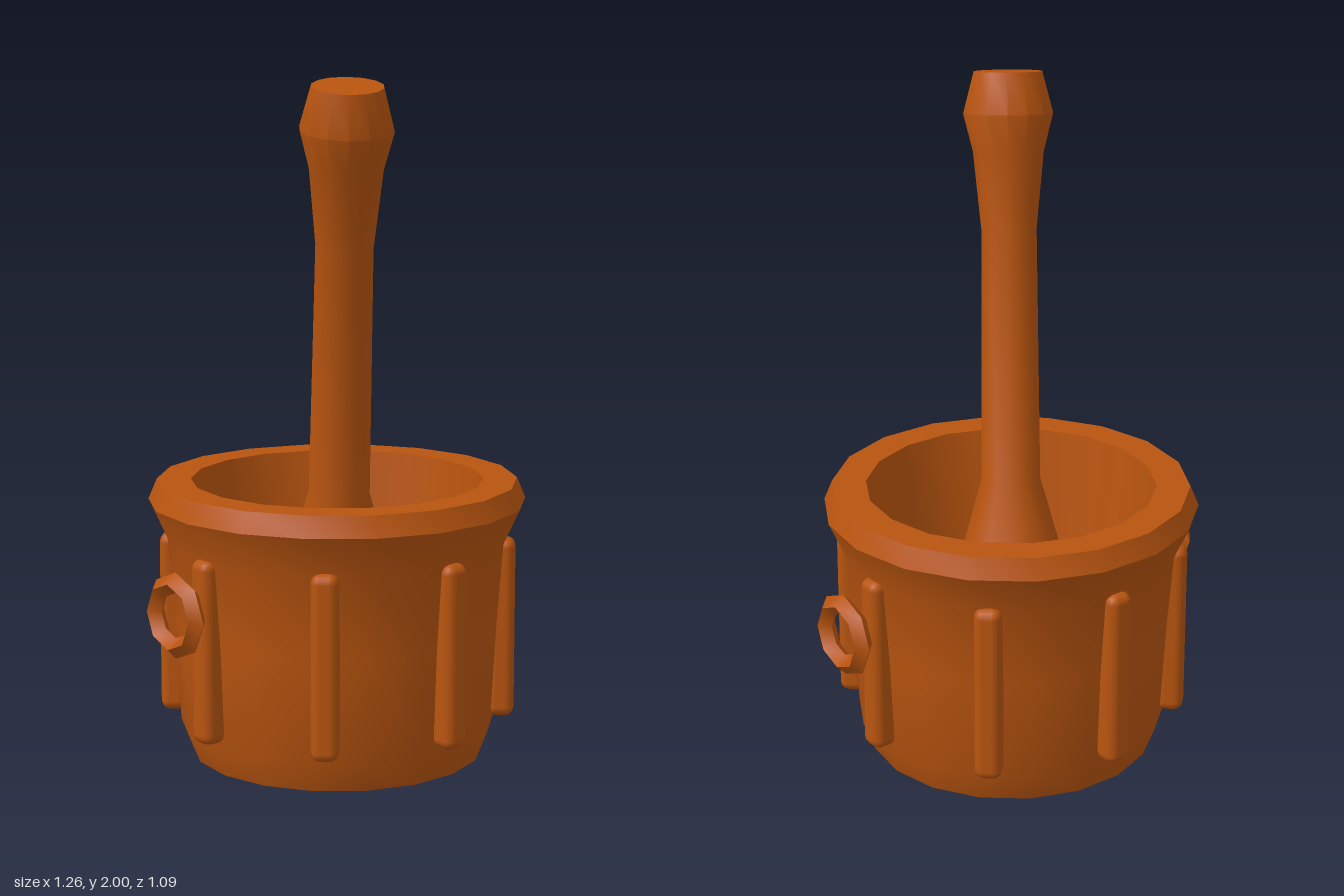
import * as THREE from 'three';
import { toCreasedNormals } from 'three/addons/utils/BufferGeometryUtils.js';
import { RoundedBoxGeometry } from 'three/addons/geometries/RoundedBoxGeometry.js';

const wood = new THREE.MeshStandardMaterial({ color: 0xb8540f });
wood.name = 'brownWood';
const powder = new THREE.MeshStandardMaterial({ color: 0xd0d0d0 });
powder.name = 'greyPowder';

function add(parent, name, geometry, material) {
  const mesh = new THREE.Mesh(geometry, material);
  mesh.name = name;
  parent.add(mesh);
  return mesh;
}

// Turned shape from [radius, height] pairs, with a corner on the x axis
function turned(profile, sides) {
  const points = profile.map(([r, y]) => new THREE.Vector2(r, y));
  return toCreasedNormals(new THREE.LatheGeometry(points, sides, Math.PI / 2), 0.6);
}

export function createModel() {
  const model = new THREE.Group();
  model.name = 'mortarAndPestle';

  // Hollow bowl with a flared, bevelled lip
  add(model, 'bowl', turned([
    [0, 0], [0.43, 0], [0.465, 0.09], [0.482, 0.4], [0.5, 0.64],
    [0.555, 0.76], [0.53, 0.82], [0.43, 0.82], [0.365, 0.32], [0, 0.3],
  ], 18), wood);

  // Ground heap inside the bowl
  add(model, 'powderHeap', turned([
    [0.37, 0.33], [0.29, 0.37], [0.2, 0.4], [0.1, 0.417], [0, 0.423],
  ], 18), powder);

  // Eight upright ribs around the bowl
  for (let i = 0; i < 8; i++) {
    const angle = (i * Math.PI) / 4;
    const rib = add(model, 'rib', new RoundedBoxGeometry(0.08, 0.54, 0.08, 2, 0.028), wood);
    rib.position.set(Math.sin(angle) * 0.486, 0.38, Math.cos(angle) * 0.486);
    rib.rotation.y = angle;
  }

  // Faceted ring handles on both sides
  for (const side of [-1, 1]) {
    const ring = add(model, side > 0 ? 'leftRing' : 'rightRing',
      toCreasedNormals(new THREE.TorusGeometry(0.095, 0.03, 4, 8), 0.6), wood);
    ring.position.set(side * 0.602, 0.505, 0);
    ring.rotation.y = Math.PI / 2;
  }

  // Leaning pestle with a thick grinding end and a knob on top
  const foot = new THREE.Vector3(-0.018, 0.47, 0.02);
  const top = new THREE.Vector3(-0.195, 1.98, 0.268);
  const axis = top.clone().sub(foot);
  const length = axis.length();
  const pestle = add(model, 'pestle', turned([
    [0, -0.13], [0.12, -0.1], [0.172, 0], [0.15, 0.12], [0.09, 0.33],
    [0.083, 1.08], [0.106, 1.31], [0.134, 1.42], [0.102, length], [0, length],
  ], 14), wood);
  pestle.position.copy(foot);
  pestle.quaternion.setFromUnitVectors(new THREE.Vector3(0, 1, 0), axis.normalize());

  return model;
}
